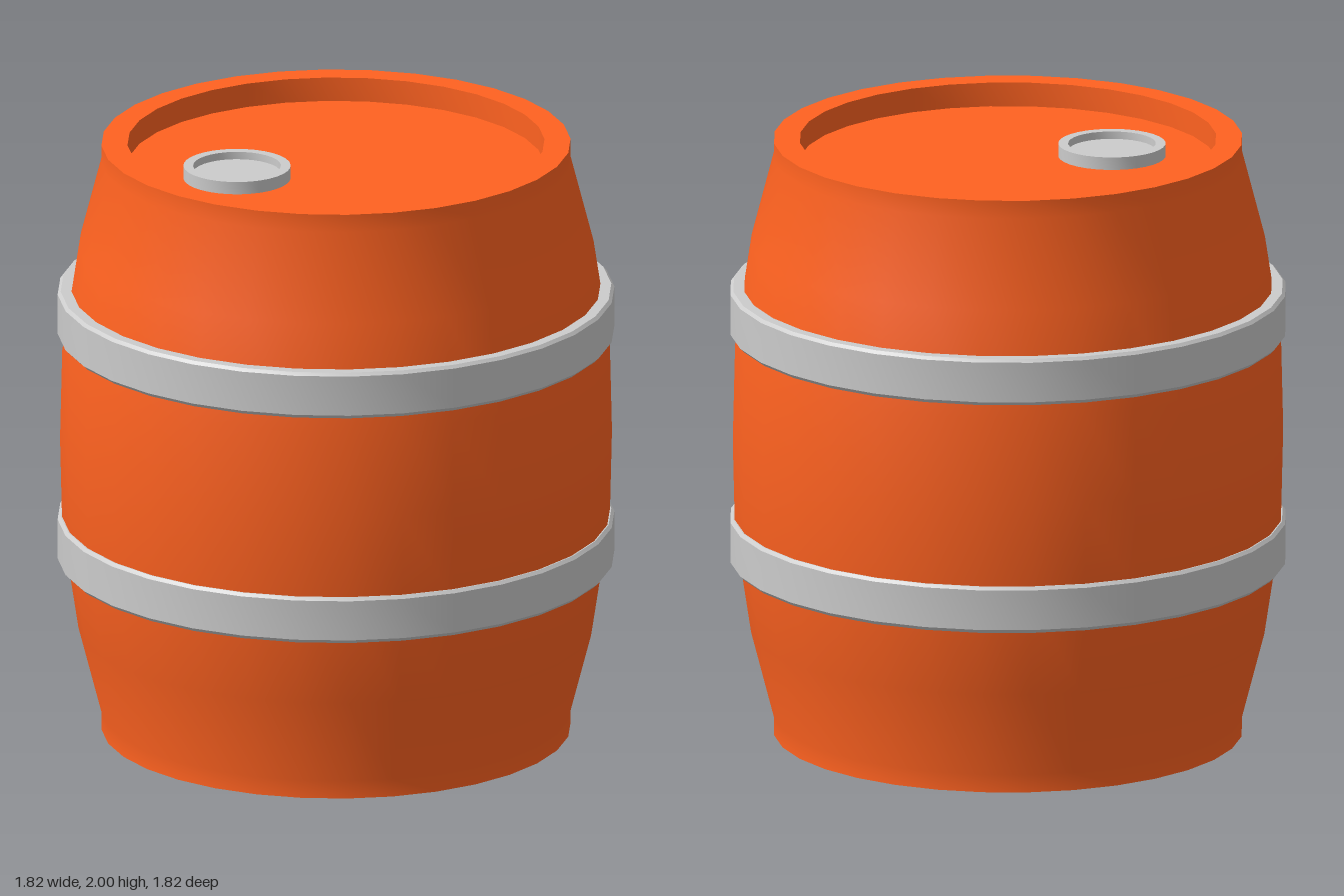
import * as THREE from 'three';
import { toCreasedNormals } from 'three/addons/utils/BufferGeometryUtils.js';

const SIDES = 32;

// Turned part from [radius, height] pairs, listed from the bottom up the outside
function turned(name, profile, material) {
  const points = profile.map(([r, y]) => new THREE.Vector2(r, y));
  const geometry = toCreasedNormals(new THREE.LatheGeometry(points, SIDES), 0.5);
  const mesh = new THREE.Mesh(geometry, material);
  mesh.name = name;
  return mesh;
}

export function createModel() {
  const model = new THREE.Group();
  model.name = 'barrel';
  const orange = new THREE.MeshStandardMaterial({ color: 0xff6220 });
  const grey = new THREE.MeshStandardMaterial({ color: 0xcccccc });

  // Bulging body with a recessed lid and base
  const half = [[0, 0.07], [0.68, 0.07], [0.68, 0], [0.765, 0], [0.765, 0.06], [0.84, 0.35], [0.893, 0.7]];
  const upper = half.map(([r, y]) => [r, 2 - y]).reverse();
  upper[upper.length - 1][1] = upper[upper.length - 2][1] = 1.92;
  model.add(turned('body', [...half, [0.9, 1], ...upper], orange));

  // Two metal hoops
  const hoop = [[0.85, 0.575], [0.895, 0.575], [0.908, 0.588], [0.908, 0.722], [0.898, 0.732], [0.85, 0.732]];
  for (const [name, y] of [['lowerHoop', 0], ['upperHoop', 0.77]]) {
    const mesh = turned(name, hoop, grey);
    mesh.position.y = y;
    model.add(mesh);
  }

  // Filler cap with a raised rim, set off-centre on the lid
  const cap = turned('fillerCap', [[0.175, 0], [0.175, 0.042], [0.143, 0.042], [0.143, 0.017], [0, 0.017]], grey);
  cap.position.set(-0.26, 1.92, 0.23);
  model.add(cap);

  return model;
}
